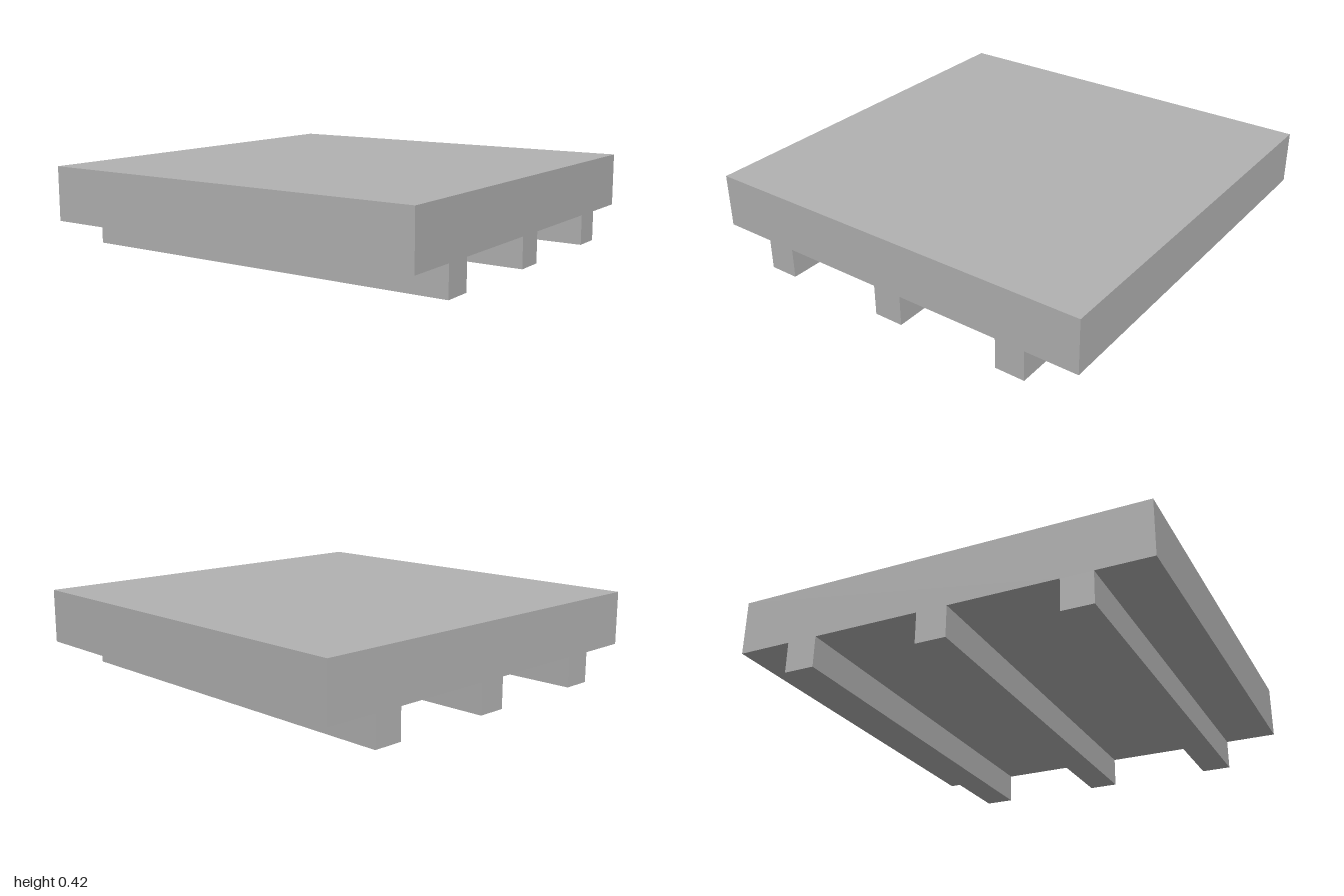
import * as THREE from 'three';

export function createModel() {
  const group = new THREE.Group();
  group.name = 'pallet';
  const grey = new THREE.MeshStandardMaterial({ color: 0xb2b2b2 });
  grey.name = 'grey';

  const top = 0.416, deck = 0.15, half = 0.074;

  // One continuous cross-section: deck slab with three runners below
  const profile = new THREE.Shape();
  profile.moveTo(1, top);
  profile.lineTo(-1, top);
  profile.lineTo(-1, deck);
  for (const x of [-0.666, 0, 0.666]) {
    profile.lineTo(x - half, deck);
    profile.lineTo(x - half, 0);
    profile.lineTo(x + half, 0);
    profile.lineTo(x + half, deck);
  }
  profile.lineTo(1, deck);
  profile.closePath();

  // Run the section from back to front
  const geometry = new THREE.ExtrudeGeometry(profile, { depth: 2, bevelEnabled: false });
  geometry.translate(0, 0, -1);
  const mesh = new THREE.Mesh(geometry, grey);
  mesh.name = 'deckWithRunners';
  group.add(mesh);
  return group;
}
